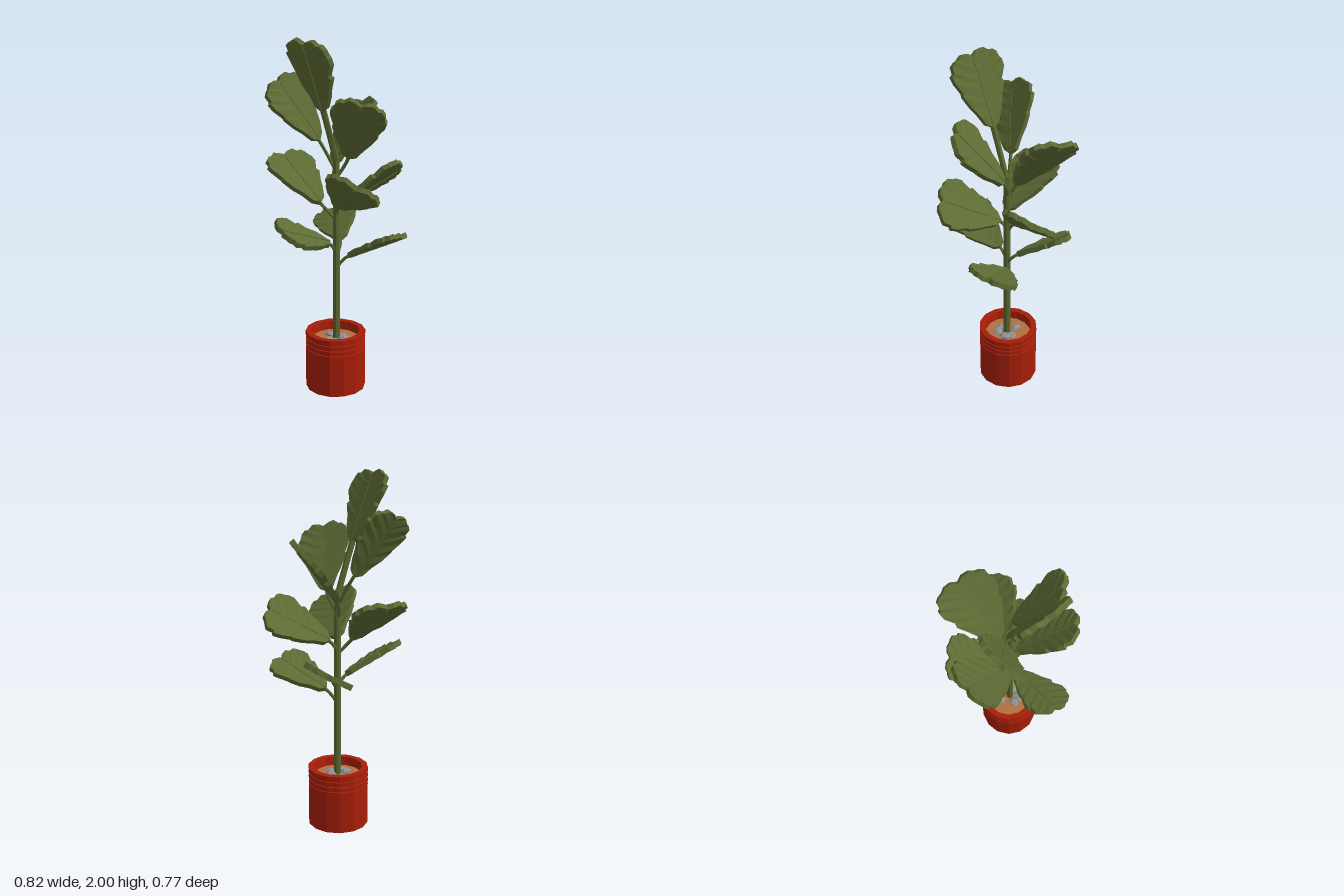
import * as THREE from 'three';

const mat = (name, color, extra = {}) => new THREE.MeshStandardMaterial({ name, color, flatShading: true, ...extra });
const V = (a) => new THREE.Vector3(...a);

// Leaf rows: [start on the midrib, half width as a fraction], lobed towards the tip
const ROWS = [[-0.02, 0.26], [0.09, 0.46], [0.19, 0.64], [0.3, 0.83], [0.36, 0.79], [0.46, 0.98], [0.56, 1], [0.61, 0.91],
  [0.71, 0.88], [0.79, 0.74], [0.83, 0.61], [0.93, 0.43], [0.98, 0.2], [0.97, 0.04]];
const COLS = [-1, -0.5, 0, 0.5, 1];

// Thick, pleated blade running along +y with its upper face towards +z
function bladeGeometry(length, width, thick) {
  const pos = [];
  const point = (i, j, side) => {
    const x = COLS[j] * ROWS[i][1] * width / 2;
    const sweep = Math.abs(x) * 0.6;
    const pleat = (i % 2 ? 0.003 : -0.003) * Math.abs(COLS[j]);
    return [x, ROWS[i][0] * length + sweep, Math.abs(x) * 0.06 + pleat + side * thick / 2];
  };
  const quad = (a, b, c, d) => pos.push(...a, ...b, ...c, ...a, ...c, ...d);
  const R = ROWS.length - 1, C = COLS.length - 1;
  for (let i = 0; i < R; i++) {
    for (let j = 0; j < C; j++) {
      quad(point(i, j, 1), point(i, j + 1, 1), point(i + 1, j + 1, 1), point(i + 1, j, 1));
      quad(point(i, j, -1), point(i + 1, j, -1), point(i + 1, j + 1, -1), point(i, j + 1, -1));
    }
    quad(point(i, C, -1), point(i + 1, C, -1), point(i + 1, C, 1), point(i, C, 1));
    quad(point(i, 0, 1), point(i + 1, 0, 1), point(i + 1, 0, -1), point(i, 0, -1));
  }
  for (let j = 0; j < C; j++) {
    quad(point(0, j, -1), point(0, j + 1, -1), point(0, j + 1, 1), point(0, j, 1));
    quad(point(R, j, 1), point(R, j + 1, 1), point(R, j + 1, -1), point(R, j, -1));
  }
  const g = new THREE.BufferGeometry();
  g.setAttribute('position', new THREE.Float32BufferAttribute(pos, 3));
  g.computeVertexNormals();
  return g;
}

// base, tip, upper-face direction, width, height where the stalk leaves the trunk
const LEAVES = [
  [[-0.1, 1.62, 0.01], [-0.245, 1.975, 0.03], [0.93, 0.37, 0], 0.33, 1.33],
  [[-0.06, 1.45, -0.08], [-0.22, 1.765, -0.23], [0, 0.47, 0.88], 0.3, 1.27],
  [[0.04, 1.36, 0.06], [-0.075, 1.675, 0.28], [0.6, 0.5, -0.4], 0.3, 1.24],
  [[0.03, 1.31, -0.05], [0.295, 1.62, -0.1], [-0.6, 0.5, -0.2], 0.33, 1.2],
  [[0.06, 1.09, -0.005], [0.355, 1.265, 0.13], [-0.11, 0.75, -0.66], 0.31, 1.0],
  [[-0.02, 1.09, 0.04], [-0.155, 1.265, 0.33], [0.66, 0.75, -0.11], 0.31, 1.0],
  [[-0.07, 1.1, -0.06], [-0.095, 1.325, -0.355], [0, 0.79, 0.6], 0.32, 1.0],
  [[-0.06, 0.88, 0], [-0.39, 1.005, 0.01], [0.3, 0.87, 0.38], 0.27, 0.79],
  [[0.05, 0.795, 0.05], [0.205, 0.93, 0.305], [0, 0.87, -0.48], 0.28, 0.71],
  [[0.06, 0.875, -0.03], [0.215, 0.97, -0.265], [-0.53, 0.85, 0], 0.28, 0.79],
];

export function createModel() {
  const leafGreen = mat('leaf green', 0x5d6b34, { side: THREE.DoubleSide });
  const stemGreen = mat('stem green', 0x58672f);
  const potRed = mat('pot red', 0xa81e08);
  const soilBrown = mat('soil brown', 0xb0703f);
  const stoneGrey = mat('stone grey', 0x8c9196);

  const model = new THREE.Group();
  model.name = 'pottedPlant';
  const add = (parent, name, geo, material, x = 0, y = 0, z = 0) => {
    const m = new THREE.Mesh(geo, material);
    m.name = name;
    m.position.set(x, y, z);
    parent.add(m);
    return m;
  };

  // Pot with three fine grooves under the rim and an open top
  const r = 0.172, profile = [[0, 0], [r, 0]];
  for (const y of [0.25, 0.28, 0.31]) {
    profile.push([r, y - 0.006], [r - 0.005, y - 0.003], [r - 0.005, y + 0.003], [r, y + 0.006]);
  }
  profile.push([r, 0.34], [0.138, 0.34], [0.132, 0.27]);
  add(model, 'pot', new THREE.LatheGeometry(profile.map(([x, y]) => new THREE.Vector2(x, y)), 14), potRed, 0, 0, -0.008);
  add(model, 'soil', new THREE.CylinderGeometry(0.136, 0.136, 0.02, 14), soilBrown, 0, 0.28, -0.008);

  // Pebbles clustered around the trunk
  const stones = new THREE.Group();
  stones.name = 'pebbles';
  model.add(stones);
  for (let i = 0; i < 5; i++) {
    const a = i * 2.4, d = 0.042 + (i % 3) * 0.012, s = 0.027 + (i % 2) * 0.006;
    const stone = add(stones, 'pebble', new THREE.IcosahedronGeometry(s, 0), stoneGrey,
      Math.cos(a) * d, 0.295, Math.sin(a) * d);
    stone.scale.set(1.2, 0.55, 1);
    stone.rotation.y = a;
  }

  // Trunk
  add(model, 'trunk', new THREE.CylinderGeometry(0.018, 0.021, 1.08, 8), stemGreen, 0, 0.82, 0);

  // Leaves, each with a curved stalk and a midrib on both faces
  LEAVES.forEach(([b, t, n, width, from], i) => {
    const base = V(b), along = V(t).sub(base), length = along.length();
    along.normalize();
    const across = along.clone().cross(V(n)).normalize();
    const up = across.clone().cross(along);
    const leaf = new THREE.Group();
    leaf.name = 'leaf';
    leaf.applyMatrix4(new THREE.Matrix4().makeBasis(across, along, up).setPosition(base));
    model.add(leaf);
    add(leaf, 'blade', bladeGeometry(length, width, 0.027), leafGreen);
    add(leaf, 'midrib', new THREE.BoxGeometry(0.013, length * 0.95, 0.034), leafGreen, 0, length * 0.475, 0);

    const end = base.clone().addScaledVector(along, 0.03);
    const bend = base.clone().addScaledVector(along, -0.05);
    const curve = new THREE.QuadraticBezierCurve3(new THREE.Vector3(0, from, 0), bend, end);
    add(model, 'stalk', new THREE.TubeGeometry(curve, 5, i ? 0.0095 : 0.017, 6), stemGreen);
  });
  return model;
}
